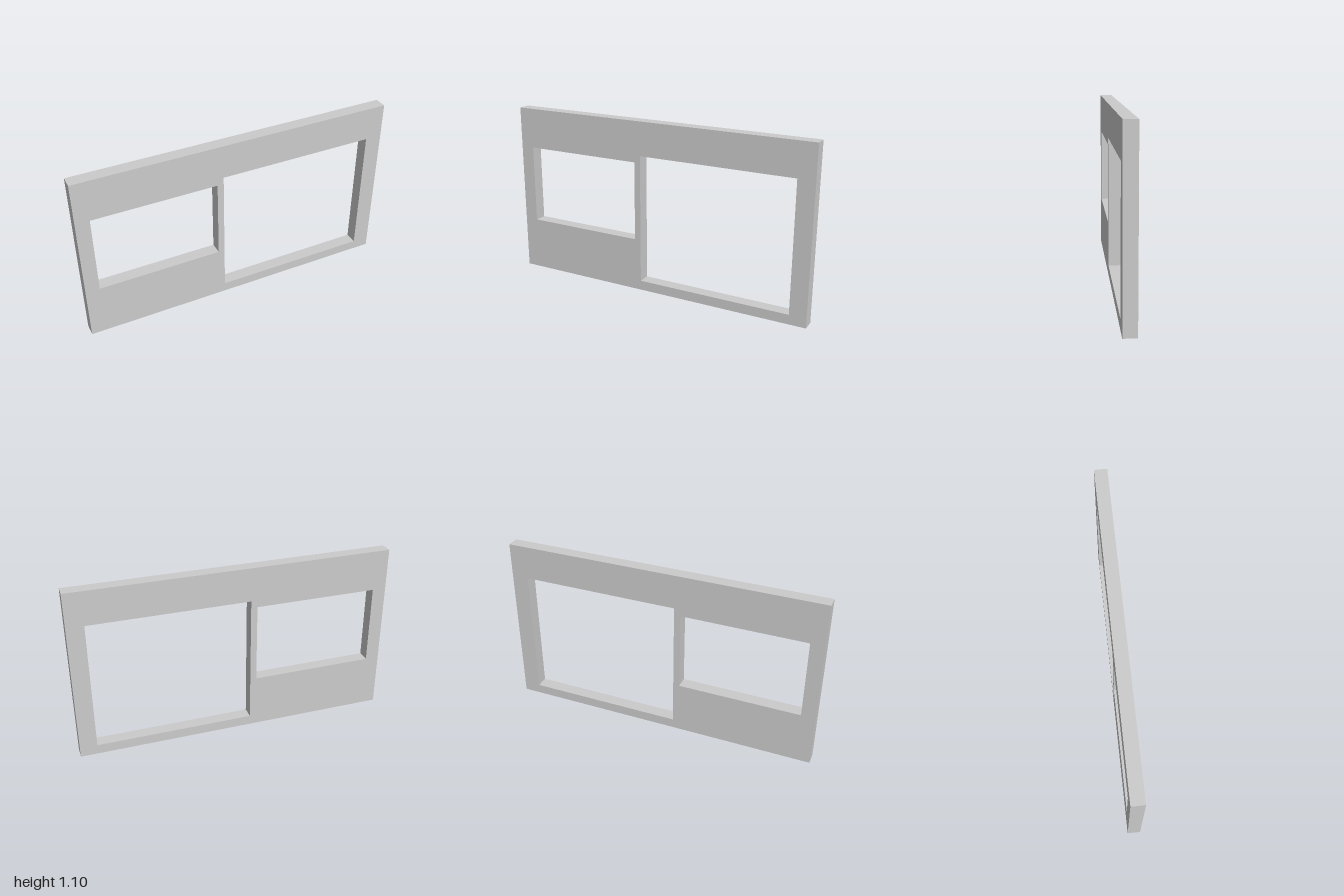
import * as THREE from 'three';

const DEPTH = 0.08;

// Rectangle outline between two opposite corners
function rect(PathType, x0, y0, x1, y1) {
  return new PathType([[x0, y0], [x1, y0], [x1, y1], [x0, y1]].map(([x, y]) => new THREE.Vector2(x, y)));
}

export function createModel() {
  const group = new THREE.Group();
  group.name = 'wallPanel';

  // Wall slab with two rectangular openings
  const outline = rect(THREE.Shape, -1, 0, 1, 1.1);
  outline.holes.push(
    rect(THREE.Path, -0.913, 0.34, -0.14, 0.842), // small window
    rect(THREE.Path, -0.1, 0.062, 0.893, 0.886), // large window
  );
  const geometry = new THREE.ExtrudeGeometry(outline, { depth: DEPTH, bevelEnabled: false });
  geometry.translate(0, 0, -DEPTH / 2);

  const wall = new THREE.Mesh(geometry, new THREE.MeshStandardMaterial({ color: 0xcccccc }));
  wall.name = 'wallWithWindowOpenings';
  group.add(wall);
  return group;
}
